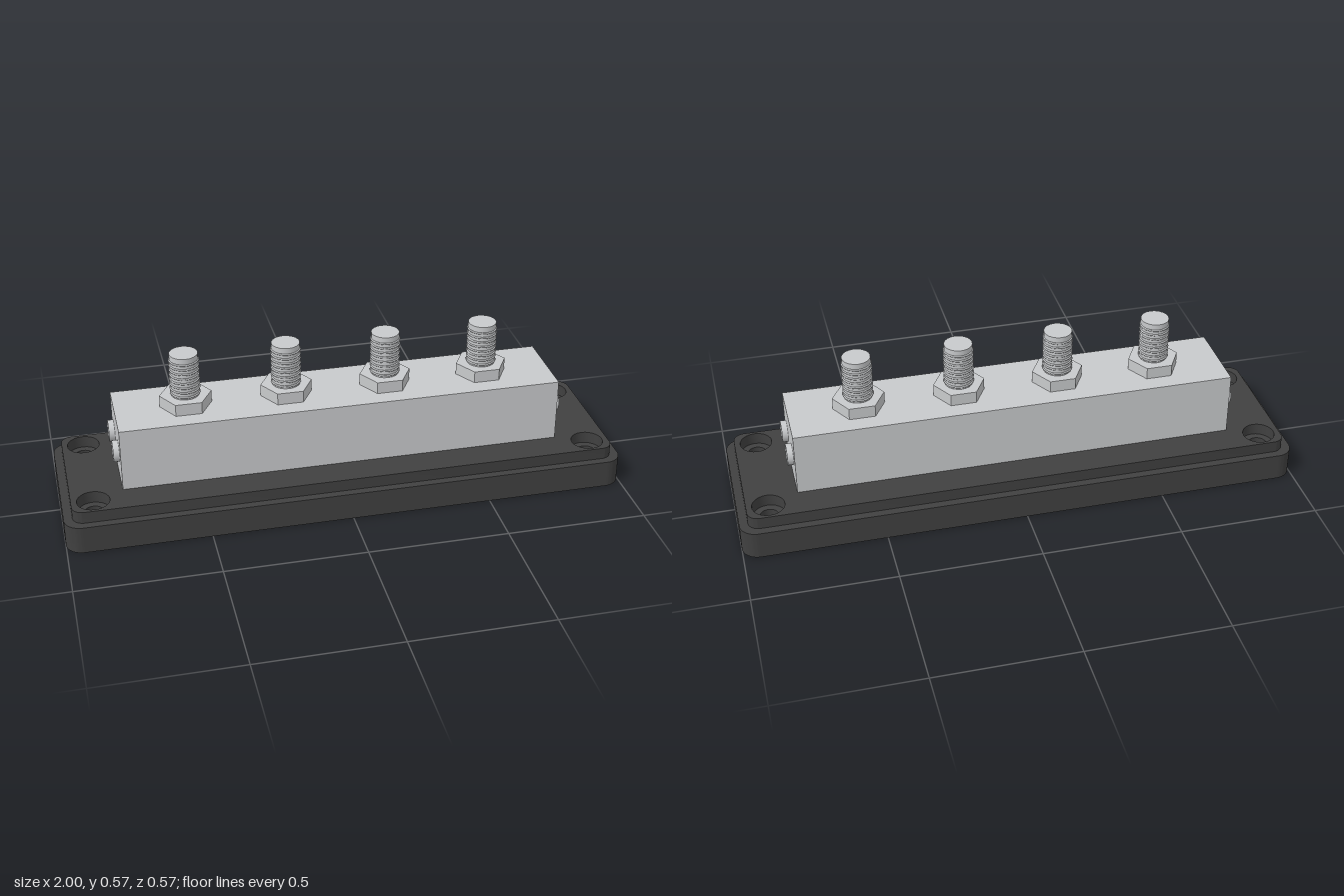
import * as THREE from 'three';
import { toCreasedNormals } from 'three/addons/utils/BufferGeometryUtils.js';

export function createModel() {
  const model = new THREE.Group();
  model.name = 'busBar';
  const plastic = new THREE.MeshStandardMaterial({ color: 0x404040 });
  plastic.name = 'dark plastic';
  const metal = new THREE.MeshStandardMaterial({ color: 0xc8cacc });
  metal.name = 'plated metal';

  function add(parent, name, geometry, material, x = 0, y = 0, z = 0) {
    const mesh = new THREE.Mesh(geometry, material);
    mesh.name = name;
    mesh.position.set(x, y, z);
    parent.add(mesh);
    return mesh;
  }

  // Rounded plate lying flat, with a round hole near each corner
  function plate(hx, hz, r, height, holeRadius) {
    const s = new THREE.Shape();
    s.moveTo(-hx + r, -hz);
    s.lineTo(hx - r, -hz);
    s.absarc(hx - r, -hz + r, r, -Math.PI / 2, 0);
    s.lineTo(hx, hz - r);
    s.absarc(hx - r, hz - r, r, 0, Math.PI / 2);
    s.lineTo(-hx + r, hz);
    s.absarc(-hx + r, hz - r, r, Math.PI / 2, Math.PI);
    s.lineTo(-hx, -hz + r);
    s.absarc(-hx + r, -hz + r, r, Math.PI, Math.PI * 1.5);
    for (const x of [-0.893, 0.893]) {
      for (const z of [-0.19, 0.19]) {
        const hole = new THREE.Path();
        hole.absarc(x, z, holeRadius, 0, Math.PI * 2, true);
        s.holes.push(hole);
      }
    }
    const g = new THREE.ExtrudeGeometry(s, { depth: height, bevelEnabled: false, curveSegments: 12 });
    g.rotateX(-Math.PI / 2);
    return toCreasedNormals(g, 0.7);
  }

  // Stepped base; the wider holes of the upper step form the counterbores
  add(model, 'baseLower', plate(1, 0.286, 0.06, 0.1, 0.032), plastic);
  add(model, 'baseUpper', plate(0.97, 0.257, 0.04, 0.043, 0.057), plastic, 0, 0.1, 0);

  // Conductor bar
  add(model, 'bar', new THREE.BoxGeometry(1.572, 0.229, 0.286), metal, 0, 0.2575, 0);

  // Threaded studs with hex nuts
  const nutGeometry = new THREE.CylinderGeometry(0.0915, 0.0915, 0.043, 6).toNonIndexed();
  nutGeometry.rotateY(Math.PI / 2);
  nutGeometry.computeVertexNormals();
  const studGeometry = new THREE.CylinderGeometry(0.05, 0.05, 0.201, 20);
  const threadGeometry = new THREE.TorusGeometry(0.05, 0.0038, 6, 20);
  threadGeometry.rotateX(Math.PI / 2);
  for (const x of [-0.536, -0.179, 0.179, 0.536]) {
    const terminal = new THREE.Group();
    terminal.name = 'terminal';
    terminal.position.x = x;
    add(terminal, 'nut', nutGeometry, metal, 0, 0.3935, 0);
    add(terminal, 'stud', studGeometry, metal, 0, 0.4725, 0);
    for (let i = 0; i < 8; i++) {
      add(terminal, 'thread', threadGeometry, metal, 0, 0.424 + i * 0.0179, 0);
    }
    model.add(terminal);
  }

  // Screw heads on both ends of the bar
  const screwGeometry = new THREE.CylinderGeometry(0.038, 0.038, 0.04, 24);
  screwGeometry.rotateZ(Math.PI / 2);
  for (const side of [-1, 1]) {
    for (const z of [-0.0715, 0.0715]) {
      add(model, 'endScrew', screwGeometry, metal, side * 0.787, 0.258, z);
    }
  }
  return model;
}
